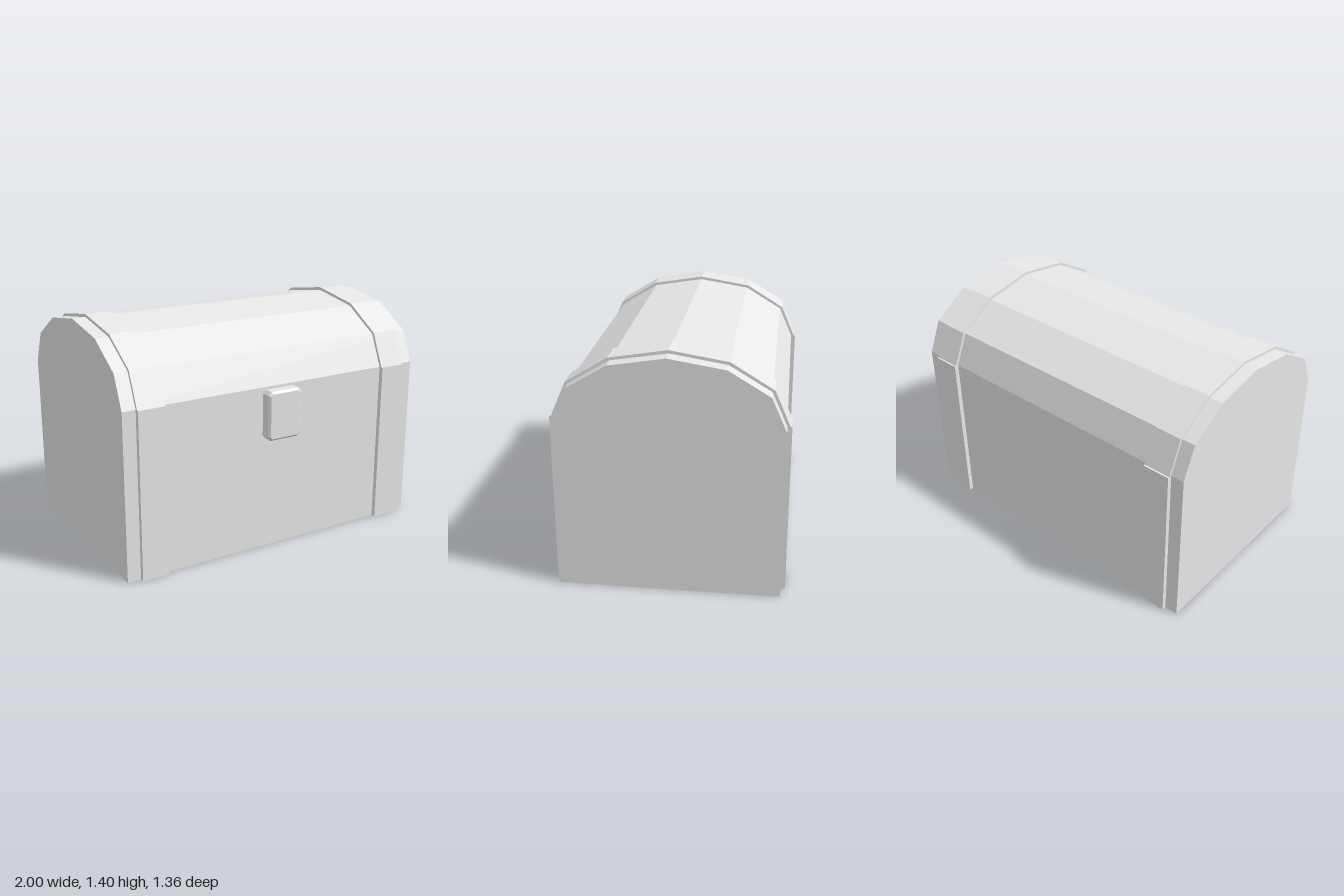
import * as THREE from 'three';

const CENTER_Z = -0.02;
const WALL = 1.0; // height where the arched lid begins

// Points of the six-sided lid arch, from one side over the top to the other
function arch(halfDepth, rise) {
  const pts = [];
  for (let i = 0; i <= 6; i++) {
    const a = (i * Math.PI) / 6;
    pts.push(new THREE.Vector2(halfDepth * Math.cos(a), WALL + rise * Math.sin(a)));
  }
  return pts;
}

// Extrudes a side profile along x, from x0 to x1
function slab(name, pts, x0, x1, material) {
  const geo = new THREE.ExtrudeGeometry(new THREE.Shape(pts), { depth: x1 - x0, bevelEnabled: false });
  geo.rotateY(Math.PI / 2);
  geo.translate(x0, 0, CENTER_Z);
  const mesh = new THREE.Mesh(geo, material);
  mesh.name = name;
  return mesh;
}

export function createModel() {
  const group = new THREE.Group();
  group.name = 'chest';
  const grey = new THREE.MeshStandardMaterial({ color: 0xe7e7e7 });
  grey.name = 'light grey';

  // Solid body with arched lid
  const bodyHalf = 0.633;
  const bodyArch = arch(bodyHalf, 0.382);
  const v = (x, y) => new THREE.Vector2(x, y);
  group.add(slab('body', [v(-bodyHalf, 0), v(bodyHalf, 0), ...bodyArch], -1, 1, grey));

  // Two straps: an arch over the lid and slightly prouder uprights front and back
  const lidBand = [...arch(0.65, 0.4), ...bodyArch.slice().reverse()];
  for (const [side, x0, x1] of [['right', -0.919, -0.754], ['left', 0.749, 0.914]]) {
    const strap = new THREE.Group();
    strap.name = side + 'Strap';
    strap.add(slab('lidBand', lidBand, x0, x1, grey));
    for (const [end, s] of [['front', -1], ['back', 1]]) {
      const a = s * bodyHalf, b = s * 0.66;
      strap.add(slab(end + 'Upright', [v(a, 0), v(b, 0), v(b, WALL), v(a, WALL)], x0, x1, grey));
    }
    group.add(strap);
  }

  // Chamfered lock plate
  const c = 0.013, w = 0.113 - c, h = 0.148 - c;
  const plate = new THREE.Shape([
    v(-w + c, -h), v(w - c, -h), v(w, -h + c), v(w, h - c),
    v(w - c, h), v(-w + c, h), v(-w, h - c), v(-w, -h + c),
  ]);
  const lock = new THREE.Mesh(new THREE.ExtrudeGeometry(plate, {
    depth: 0.055, bevelSize: c, bevelThickness: c, bevelSegments: 1,
  }), grey);
  lock.position.set(0, 0.835, 0.68 - 0.055 - c);
  lock.name = 'lock';
  group.add(lock);

  return group;
}
